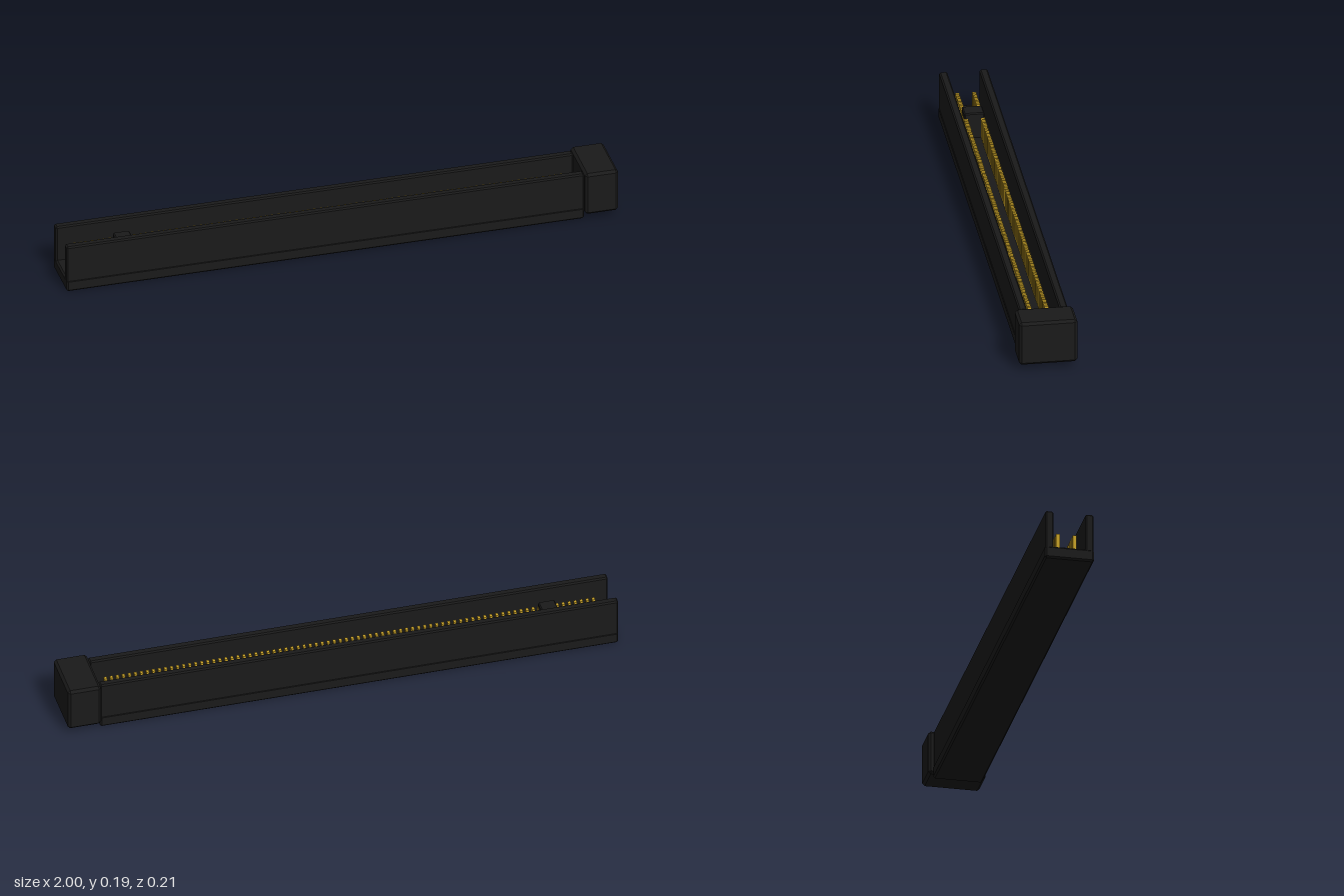
import * as THREE from 'three';
import { ConvexGeometry } from 'three/addons/geometries/ConvexGeometry.js';

const material = (name, color) => {
  const m = new THREE.MeshStandardMaterial({ color });
  m.name = name;
  return m;
};

// Box between two corners, with every edge cut by a flat chamfer c
function chamferBox([x0, y0, z0], [x1, y1, z1], c) {
  const half = new THREE.Vector3(x1 - x0, y1 - y0, z1 - z0).multiplyScalar(0.5);
  const points = [];
  for (const sx of [-1, 1]) for (const sy of [-1, 1]) for (const sz of [-1, 1]) {
    for (let axis = 0; axis < 3; axis++) {
      const p = half.clone().subScalar(c);
      p.setComponent(axis, half.getComponent(axis));
      points.push(p.multiply(new THREE.Vector3(sx, sy, sz)));
    }
  }
  return new ConvexGeometry(points).translate((x0 + x1) / 2, (y0 + y1) / 2, (z0 + z1) / 2);
}

export function createModel() {
  const black = material('black plastic', 0x1a1a1a);
  const gold = material('gold contact', 0xc9a227);
  const model = new THREE.Group();
  model.name = 'edgeConnectorSlot';

  const add = (name, geometry, mat, parent = model) => {
    const mesh = new THREE.Mesh(geometry, mat);
    mesh.name = name;
    parent.add(mesh);
    return mesh;
  };

  // Long base with a wall along each side, open at the -x end
  add('base', chamferBox([-1, 0, -0.088], [0.88, 0.045, 0.088], 0.006), black);
  add('frontWall', chamferBox([-1, 0.035, 0.057], [0.88, 0.18, 0.086], 0.005), black);
  add('backWall', chamferBox([-1, 0.035, -0.086], [0.88, 0.18, -0.057], 0.005), black);

  // Latch block closing the +x end
  add('latch', chamferBox([0.88, 0.022, -0.103], [1, 0.186, 0.103], 0.009), black);

  // Key rib crossing the channel
  add('keyRib', chamferBox([-0.8, 0.04, -0.036], [-0.74, 0.14, 0.036], 0.004), black);

  // Two rows of contacts
  const contacts = new THREE.Group();
  contacts.name = 'contacts';
  model.add(contacts);
  const pin = new THREE.BoxGeometry(0.01, 0.08, 0.014);
  const count = 82;
  for (const z of [-0.03, 0.03]) {
    for (let i = 0; i < count; i++) {
      const x = -0.94 + (1.77 * i) / (count - 1);
      add('contact', pin, gold, contacts).position.set(x, 0.08, z);
    }
  }
  return model;
}
